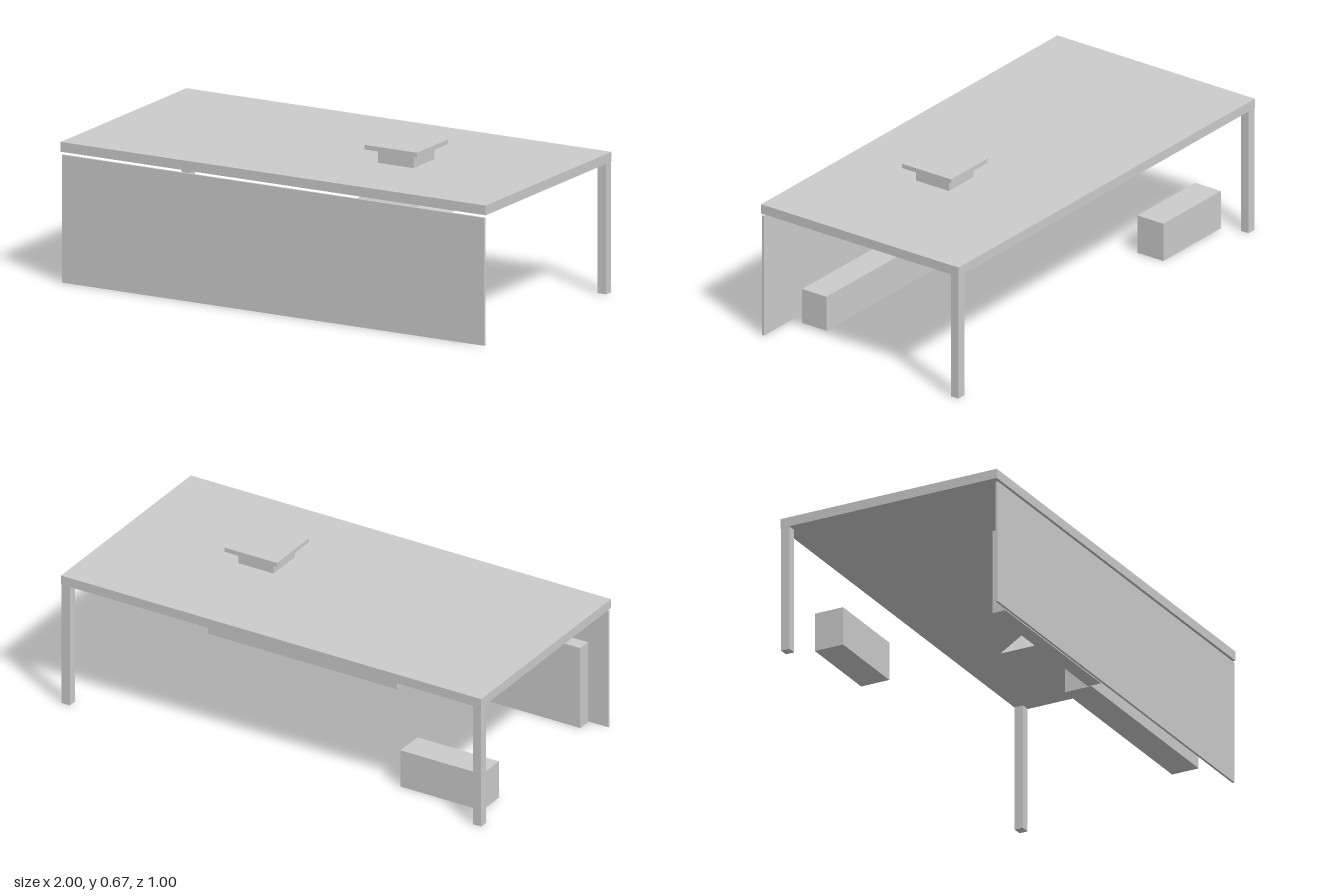
import * as THREE from 'three';

export function createModel() {
  const group = new THREE.Group();
  const material = new THREE.MeshStandardMaterial({ color: 0xcccccc, flatShading: true });

  // Box given by its [min, max] range on each axis
  function addBox(name, [x0, x1], [y0, y1], [z0, z1]) {
    const mesh = new THREE.Mesh(new THREE.BoxGeometry(x1 - x0, y1 - y0, z1 - z0), material);
    mesh.position.set((x0 + x1) / 2, (y0 + y1) / 2, (z0 + z1) / 2);
    mesh.name = name;
    group.add(mesh);
    return mesh;
  }

  // Flat roof and the front wall standing just below it
  addBox('roof', [-1, 1], [0.547, 0.588], [-0.5, 0.5]);
  addBox('frontWall', [-0.993, 0.993], [0, 0.535], [0.49, 0.5]);

  // Back corner posts
  for (const [name, side] of [['leftPost', 1], ['rightPost', -1]]) {
    const post = addBox(name, [-0.02, 0.02], [0, 0.547], [-0.498, -0.46]);
    post.position.x = side * 0.979;
  }

  // Furniture under the roof
  addBox('counter', [-0.095, 0.805], [0, 0.152], [0.315, 0.438]);
  addBox('tallCabinet', [-0.9, -0.1], [0, 0.368], [0.425, 0.485]);
  addBox('bench', [-0.93, -0.542], [0, 0.167], [-0.38, -0.25]);

  // Smoke hood, tapering up to the chimney
  const cx = 0.36, cz = 0.05;
  const hoodTop = 0.073, hoodBottom = 0.183;
  const hood = new THREE.Mesh(
    new THREE.CylinderGeometry(hoodTop * Math.SQRT2, hoodBottom * Math.SQRT2, 0.162, 4)
      .rotateY(Math.PI / 4),
    material
  );
  hood.position.set(cx, 0.466, cz);
  hood.name = 'hood';
  group.add(hood);

  // Chimney and its cap above the roof
  addBox('chimney', [cx - 0.083, cx + 0.083], [0.588, 0.648], [cz - 0.083, cz + 0.083]);
  addBox('chimneyCap', [cx - 0.124, cx + 0.124], [0.648, 0.667], [cz - 0.124, cz + 0.124]);

  return group;
}
